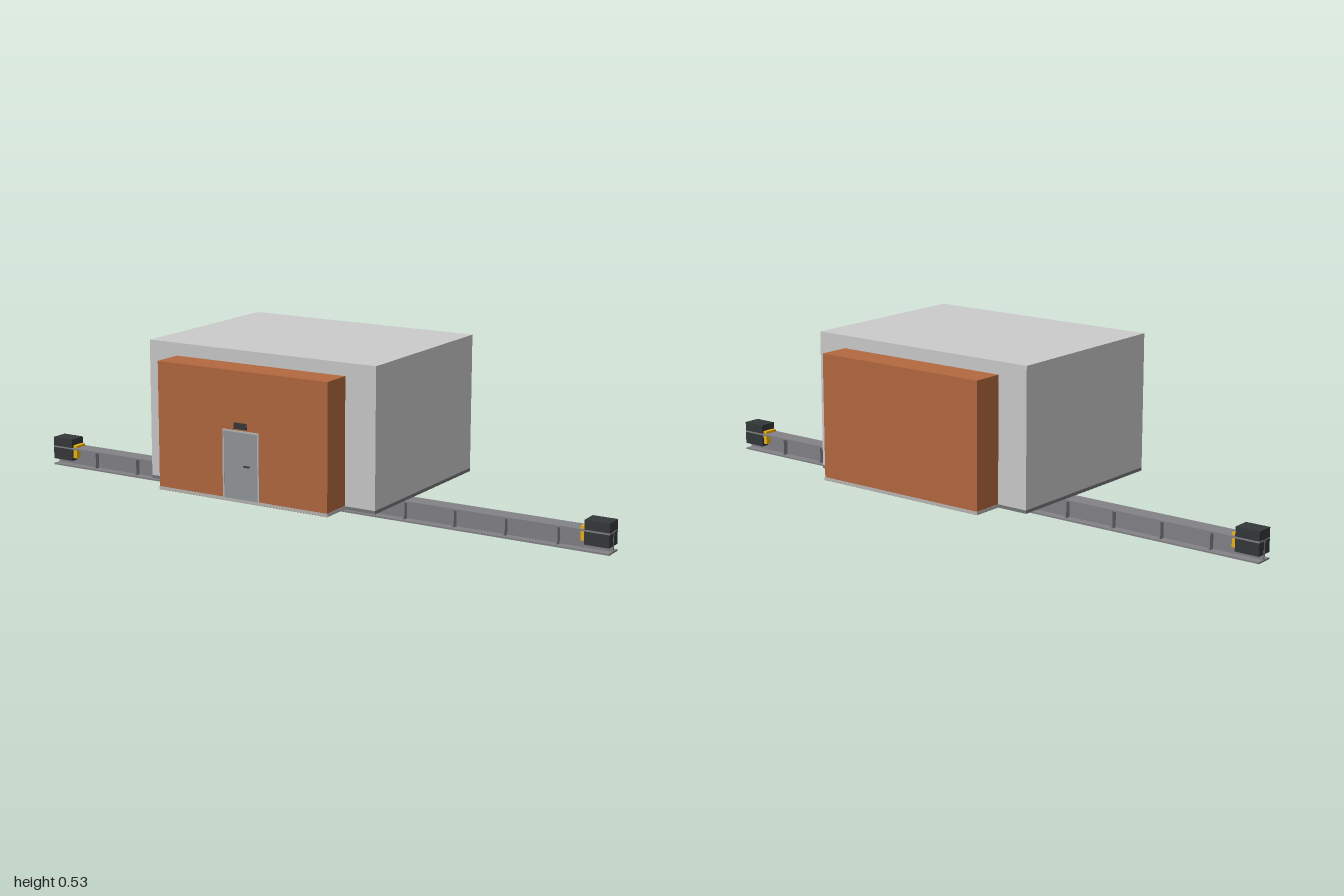
import * as THREE from 'three';

const mat = (color) => new THREE.MeshStandardMaterial({ color });

export function createModel() {
  const model = new THREE.Group();
  const wall = mat(0xcccccc), brick = mat(0xb4693f), floor = mat(0x77787a), trim = mat(0xb8b8b8);
  const steel = mat(0x838388), dark = mat(0x35383a), yellow = mat(0xf0b414), doorGrey = mat(0x94989c);

  // Box given by its extents on each axis
  const box = (name, material, [x0, x1], [y0, y1], [z0, z1], parent = model) => {
    const mesh = new THREE.Mesh(new THREE.BoxGeometry(x1 - x0, y1 - y0, z1 - z0), material);
    mesh.position.set((x0 + x1) / 2, (y0 + y1) / 2, (z0 + z1) / 2);
    mesh.name = name;
    parent.add(mesh);
    return mesh;
  };
  const both = (r) => [-r, r];
  // Extents of a part on the positive or negative side
  const side = (s, a, b) => (s > 0 ? [a, b] : [-b, -a]);

  // Main hall: floor plate and walls in two courses
  box('floorPlate', floor, both(0.393), [0.1, 0.11], both(0.294));
  box('lowerWalls', wall, both(0.393), [0.11, 0.315], both(0.294));
  box('upperWalls', wall, both(0.393), [0.315, 0.53], both(0.294));

  // Front and rear annexes with a pale sill around the foot
  for (const s of [1, -1]) {
    const annex = new THREE.Group();
    annex.name = s > 0 ? 'frontAnnex' : 'rearAnnex';
    model.add(annex);
    box('annexWalls', brick, both(0.293), [0.1, 0.491], side(s, 0.29, 0.391), annex);
    box('annexSill', trim, both(0.2945), [0.101, 0.11], side(s, 0.29, 0.3925), annex);
  }

  // Front door with frame, handle and lamp
  const door = new THREE.Group();
  door.name = 'door';
  model.add(door);
  for (const s of [1, -1]) box('doorJamb', trim, side(s, 0.058, 0.063), [0.11, 0.315], [0.385, 0.3935], door);
  box('doorLintel', trim, both(0.063), [0.31, 0.315], [0.385, 0.3935], door);
  box('doorLeaf', doorGrey, both(0.058), [0.11, 0.31], [0.385, 0.3928], door);
  box('doorHandle', dark, [0.012, 0.03], [0.208, 0.213], [0.39, 0.395], door);
  box('doorLamp', dark, both(0.021), [0.32, 0.338], [0.385, 0.396], door);

  // I-beam rail with stiffeners
  const rail = new THREE.Group();
  rail.name = 'rail';
  model.add(rail);
  box('railWeb', steel, both(1), [0.011, 0.066], both(0.003), rail);
  box('railTopFlange', steel, both(1), [0.066, 0.071], both(0.029), rail);
  box('railBottomFlange', steel, both(1), [0.006, 0.011], both(0.029), rail);
  for (let i = -5; i <= 5; i++) {
    const x = i / 6;
    box('railStiffener', steel, [x - 0.003, x + 0.003], [0.011, 0.066], both(0.02), rail);
  }

  // End stops with yellow buffers
  for (const s of [1, -1]) {
    box('endStop', dark, side(s, 0.922, 0.9995), [0.027, 0.1], both(0.0285), rail);
    box('buffer', yellow, side(s, 0.908, 0.922), [0.036, 0.079], both(0.022), rail);
  }

  // Trolley clasping the lower flange
  const trolley = new THREE.Group();
  trolley.name = 'trolley';
  model.add(trolley);
  box('trolleyPlate', yellow, both(0.046), [0, 0.0055], both(0.028), trolley);
  for (const s of [1, -1]) {
    box('trolleyCheek', yellow, both(0.046), [0.0115, 0.049], side(s, 0.01, 0.028), trolley);
    box('trolleySide', yellow, both(0.046), [0.003, 0.014], side(s, 0.0291, 0.0305), trolley);
    box('trolleyPin', dark, both(0.004), [0.049, 0.066], side(s, 0.018, 0.024), trolley);
  }

  return model;
}
